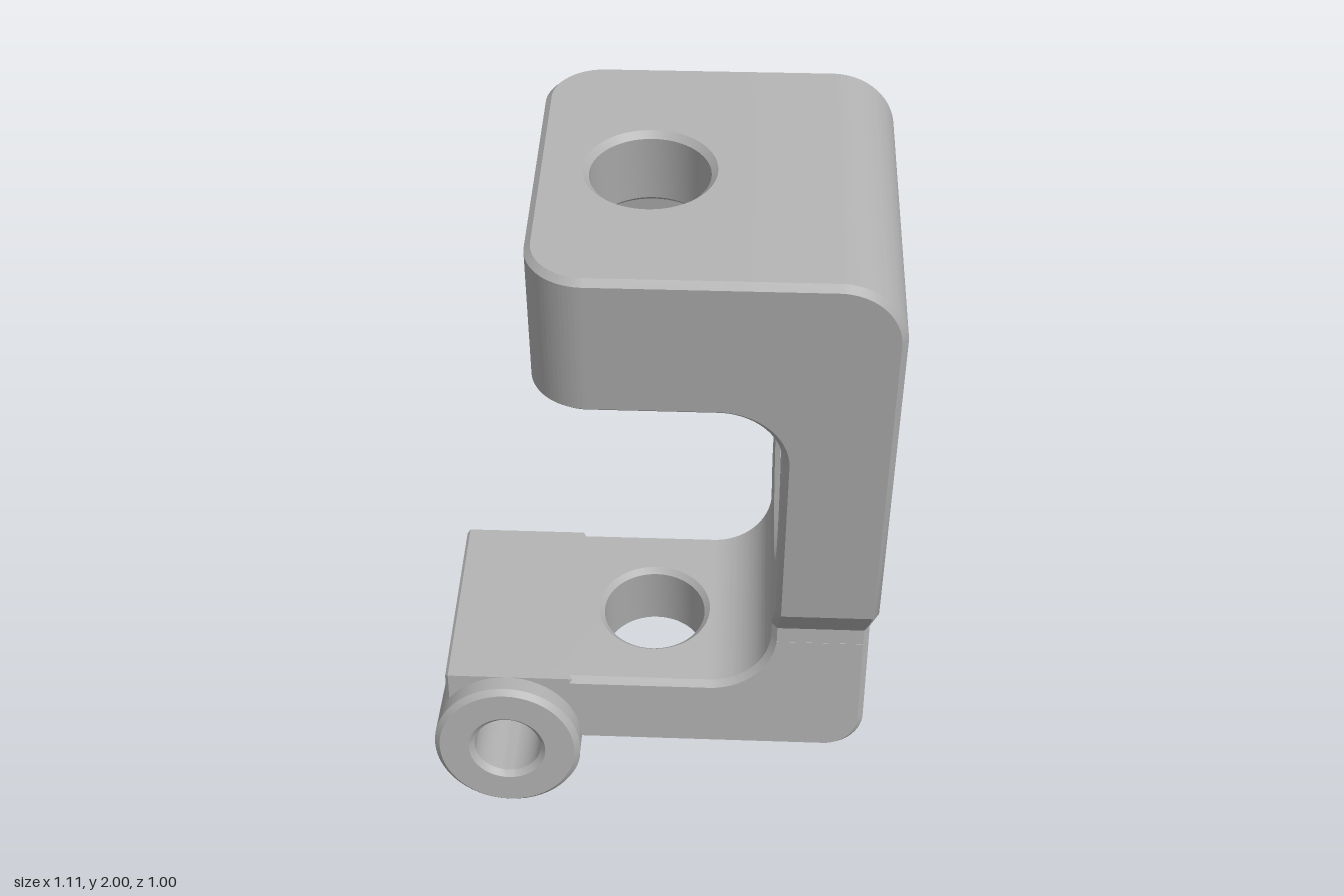
import * as THREE from 'three';
import { toCreasedNormals } from 'three/addons/utils/BufferGeometryUtils.js';

const TILT = THREE.MathUtils.degToRad(10);
const S = Math.sin(TILT), C = Math.cos(TILT);
const MID = -0.228;               // depth centre of the tilted bracket
const BACK = -0.63, FRONT = 0.17; // depth range of the upper bracket
const BEVEL = 0.014;

export function createModel() {
  const grey = new THREE.MeshStandardMaterial({ color: 0xb0b0b0 });
  grey.name = 'grey metal';
  const model = new THREE.Group();
  model.name = 'clampBracket';
  const bracket = new THREE.Group();
  bracket.name = 'tiltedBracket';
  bracket.rotation.x = TILT;
  model.add(bracket);

  const add = (parent, name, geometry) => {
    const mesh = new THREE.Mesh(toCreasedNormals(geometry, 0.45), grey);
    mesh.name = name;
    parent.add(mesh);
    return mesh;
  };

  // Chamfered extrusion from a to b along the shape's normal
  const extrude = (shape, a, b, bevel = BEVEL) =>
    new THREE.ExtrudeGeometry(shape, {
      depth: b - a - 2 * bevel, curveSegments: 28, bevelEnabled: true,
      bevelThickness: bevel, bevelSize: bevel, bevelOffset: -bevel, bevelSegments: 1,
    }).translate(0, 0, a + bevel);
  const alongY = (shape, a, b) => extrude(shape, a, b).rotateX(-Math.PI / 2); // shape is (x, -z)
  const alongX = (shape, a, b, bevel) => extrude(shape, a, b, bevel).rotateY(Math.PI / 2); // shape is (-z, y)
  const polygon = (pts) => new THREE.Shape(pts.map(([x, y]) => new THREE.Vector2(x, y)));
  const hole = (x, y, r) => new THREE.Path().absarc(x, y, r, 0, Math.PI * 2, true);

  // Lean the outer sides so that they stand upright once the bracket is tilted
  const upright = (geometry, y0, onlyBeyond) => {
    const p = geometry.attributes.position;
    for (let i = 0; i < p.count; i++) {
      if (Math.abs(p.getZ(i) - MID) > onlyBeyond) {
        p.setZ(i, p.getZ(i) - (p.getY(i) - y0) * S / C);
      }
    }
    return geometry;
  };

  // Top plate: a drilled slab over a slotted layer, both with rounded free corners
  const left = -0.25, inner = 0.22, r = 0.13;
  const slab = new THREE.Shape();
  slab.moveTo(inner, -FRONT);
  slab.lineTo(inner, -BACK);
  slab.lineTo(left + r, -BACK);
  slab.absarc(left + r, -BACK - r, r, Math.PI / 2, Math.PI, false);
  slab.lineTo(left, -FRONT + r);
  slab.absarc(left + r, -FRONT + r, r, Math.PI, Math.PI * 1.5, false);
  slab.closePath();
  slab.holes.push(hole(0, -MID, 0.133));
  add(bracket, 'topPlate', alongY(slab, 1.735, 1.92));

  const slot = 0.21;
  const lips = new THREE.Shape();
  lips.moveTo(inner, -FRONT);
  lips.lineTo(inner, -BACK);
  lips.lineTo(left + r, -BACK);
  lips.absarc(left + r, -BACK - r, r, Math.PI / 2, Math.PI, false);
  lips.lineTo(left, -MID + slot);
  lips.lineTo(0.18, -MID + slot);
  lips.lineTo(0.18, -MID - slot);
  lips.lineTo(left, -MID - slot);
  lips.lineTo(left, -FRONT + r);
  lips.absarc(left + r, -FRONT + r, r, Math.PI, Math.PI * 1.5, false);
  lips.closePath();
  add(bracket, 'topPlateLips', alongY(lips, 1.563, 1.765));

  // Upper corner with its inner fillet and rounded outer edge
  const upper = new THREE.Shape();
  upper.moveTo(0.16, 1.563);
  upper.absarc(0.16, 1.418, 0.145, Math.PI / 2, 0, true);
  upper.lineTo(0.55, 1.418);
  upper.lineTo(0.55, 1.77);
  upper.absarc(0.4, 1.77, 0.15, 0, Math.PI / 2, false);
  upper.lineTo(0.16, 1.92);
  upper.closePath();
  add(bracket, 'upperCorner', extrude(upper, BACK, FRONT));

  // Side wall, necked in at the foot, with the large round window
  const wall = polygon([
    [-FRONT, 1.45], [-FRONT, 0.934], [0.002, 0.7], [-0.0196, 0.58],
    [0.508, 0.58], [0.514, 0.61], [-BACK, 0.691], [-BACK, 1.45],
  ]);
  wall.holes.push(hole(-MID, 1.122, 0.27));
  add(bracket, 'sideWall', alongX(wall, 0.305, 0.55));

  // Lower corner, sheared so its ends are upright
  const lower = new THREE.Shape();
  lower.moveTo(0.15, 0.316);
  lower.lineTo(0.45, 0.316);
  lower.absarc(0.45, 0.416, 0.1, -Math.PI / 2, 0, false);
  lower.lineTo(0.55, 0.671);
  lower.lineTo(0.305, 0.671);
  lower.absarc(0.15, 0.671, 0.155, 0, -Math.PI / 2, true);
  lower.closePath();
  add(bracket, 'lowerCorner', upright(extrude(lower, -0.4795, 0.0485), 0.416, 0));

  // Drilled bottom plate
  const base = polygon([[-0.275, -0.0485], [0.21, -0.0485], [0.21, 0.4795], [-0.275, 0.4795]]);
  base.holes.push(hole(0, -MID, 0.133));
  add(bracket, 'bottomPlate', upright(alongY(base, 0.316, 0.516), 0.416, 0.2));

  // Wedge that carries the plate over the cross tube
  const topAt = (z) => (0.516 - z * S) / C;
  const wedge = polygon([[-0.12, 0.41], [0.4, 0.41], [0.4, topAt(-0.4)], [-0.12, topAt(0.12)]]);
  add(model, 'plateWedge', alongX(wedge, -0.53, -0.2, 0.008));

  // Chamfered sleeve turned about its axis
  const sleeve = (ro, ri, a, b, c) => new THREE.LatheGeometry([
    [ri, a + c], [ri + c, a], [ro - c, a], [ro, a + c],
    [ro, b - c], [ro - c, b], [ri + c, b], [ri, b - c], [ri, a + c],
  ].map(([x, y]) => new THREE.Vector2(x, y)), 56);

  // Cross tube running front to back
  add(model, 'crossTube', sleeve(0.19, 0.086, -0.46, 0.18, 0.014).rotateX(Math.PI / 2))
    .position.set(-0.37, 0.313, 0);

  // Short hollow peg underneath
  add(model, 'peg', sleeve(0.16, 0.08, 0, 0.222, 0.012)).position.set(-0.37, 0, -0.13);

  return model;
}
